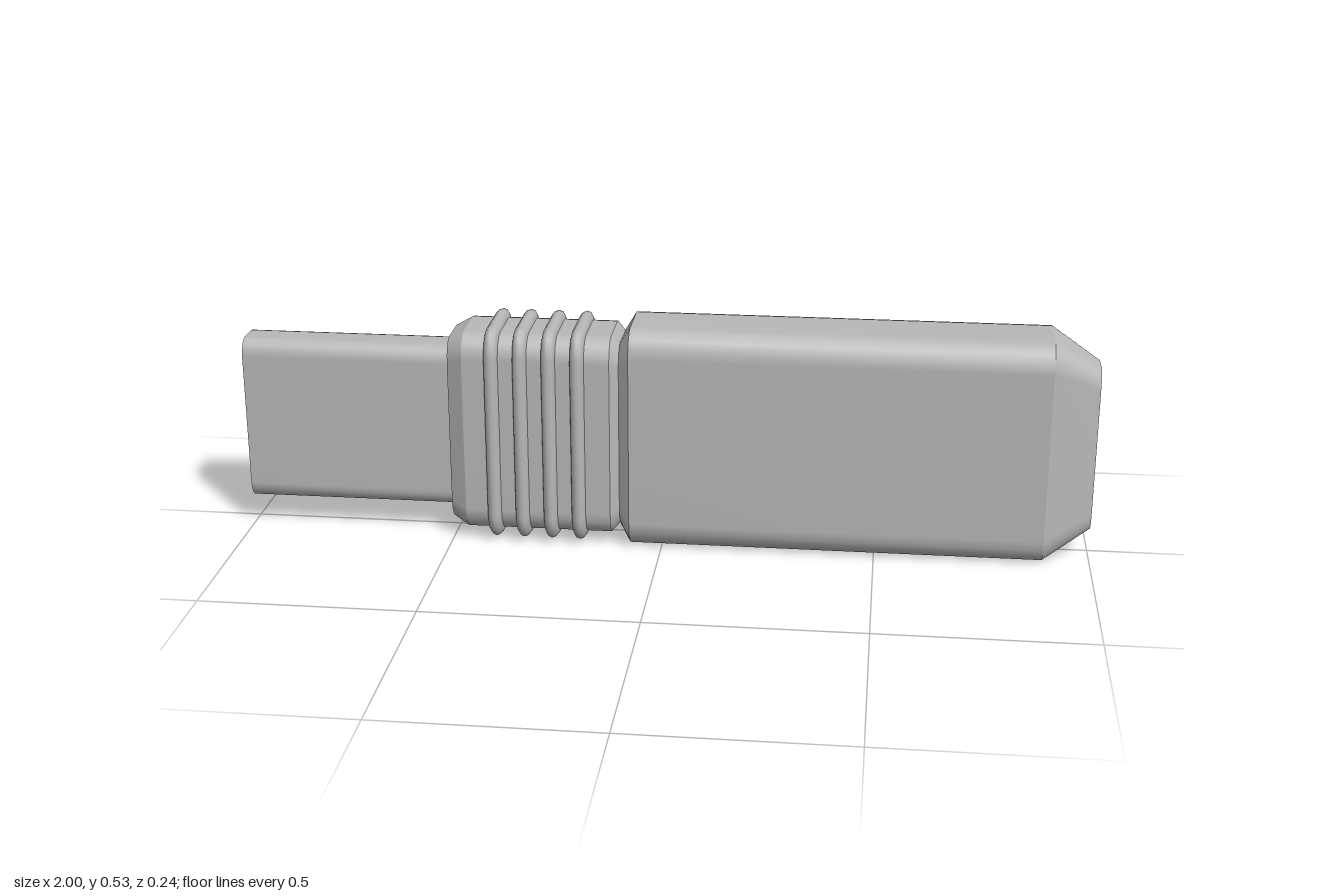
import * as THREE from 'three';
import { mergeGeometries } from 'three/addons/utils/BufferGeometryUtils.js';

const MID_Y = 0.267;
const CORNER_STEPS = 4;

// Rounded rectangle cross-section at x, with half sizes hy and hz.
// Corner radii scale with the section, so tapers stay in line.
function section([x, hy, hz], cornerY, cornerZ) {
  const ry = hy * cornerY, rz = hz * cornerZ;
  const points = [];
  for (let corner = 0; corner < 4; corner++) {
    const sy = corner < 2 ? 1 : -1;
    const sz = corner === 0 || corner === 3 ? 1 : -1;
    for (let i = 0; i <= CORNER_STEPS; i++) {
      const a = (corner + i / CORNER_STEPS) * Math.PI / 2;
      points.push([x, sy * (hy - ry) + ry * Math.sin(a), sz * (hz - rz) + rz * Math.cos(a)]);
    }
  }
  return points;
}

function geometryFrom(positions, indices) {
  const g = new THREE.BufferGeometry();
  g.setAttribute('position', new THREE.Float32BufferAttribute(positions, 3));
  g.setIndex(indices);
  g.computeVertexNormals();
  return g;
}

// One smooth strip of skin through several sections, ordered along +x.
function band(rings) {
  const n = rings[0].length, indices = [];
  for (let r = 0; r < rings.length - 1; r++) {
    for (let i = 0; i < n; i++) {
      const j = (i + 1) % n;
      const a = r * n + i, b = r * n + j, c = a + n, d = b + n;
      indices.push(a, c, b, b, c, d);
    }
  }
  return geometryFrom(rings.flat(2), indices);
}

// Flat end face.
function cap(ring, facesRight) {
  const indices = [];
  for (let i = 1; i < ring.length - 1; i++) {
    indices.push(...(facesRight ? [0, i + 1, i] : [0, i, i + 1]));
  }
  return geometryFrom(ring.flat(), indices);
}

// Loft [x, hy, hz] stations; smooth joins all rings, otherwise each ring is a crisp edge.
function loft(name, material, stations, { cornerY = 0.24, cornerZ = 0.46, smooth = false } = {}) {
  const rings = stations.map((s) => section(s, cornerY, cornerZ));
  const parts = smooth
    ? [band(rings)]
    : rings.slice(1).map((ring, i) => band([rings[i], ring]));
  parts.push(cap(rings[0], false), cap(rings[rings.length - 1], true));
  const mesh = new THREE.Mesh(mergeGeometries(parts), material);
  mesh.name = name;
  mesh.position.y = MID_Y;
  return mesh;
}

export function createModel() {
  const model = new THREE.Group();
  model.name = 'connector';
  const grey = new THREE.MeshStandardMaterial({ color: 0xb8b8b8 });
  grey.name = 'plain grey';

  // Flat plug at the narrow end
  model.add(loft('plug', grey, [[-1, 0.2, 0.057], [-0.49, 0.2, 0.057]], { cornerY: 0.2, cornerZ: 0.55 }));

  // Collar with bevelled ends, running into the neck
  model.add(loft('collar', grey, [
    [-0.503, 0.225, 0.08], [-0.465, 0.244, 0.102], [-0.12, 0.244, 0.102],
    [-0.1, 0.222, 0.086], [-0.09, 0.222, 0.086],
  ]));

  // Four rounded grip ribs around the collar
  const ribs = new THREE.Group();
  ribs.name = 'gripRibs';
  for (let k = 0; k < 4; k++) {
    const x = -0.396 + k * 0.067;
    const stations = [];
    for (let i = 0; i <= 6; i++) {
      const a = Math.PI * (i / 6);
      const rise = 0.02 * Math.sin(a);
      stations.push([x - 0.017 * Math.cos(a), 0.242 + rise, 0.1 + rise]);
    }
    ribs.add(loft('rib', grey, stations, { smooth: true }));
  }
  model.add(ribs);

  // Handle with a bevelled shoulder and a tapered tip
  model.add(loft('handle', grey, [
    [-0.1, 0.226, 0.088], [-0.075, 0.267, 0.11], [0.89, 0.267, 0.11], [1, 0.198, 0.052],
  ]));

  return model;
}
